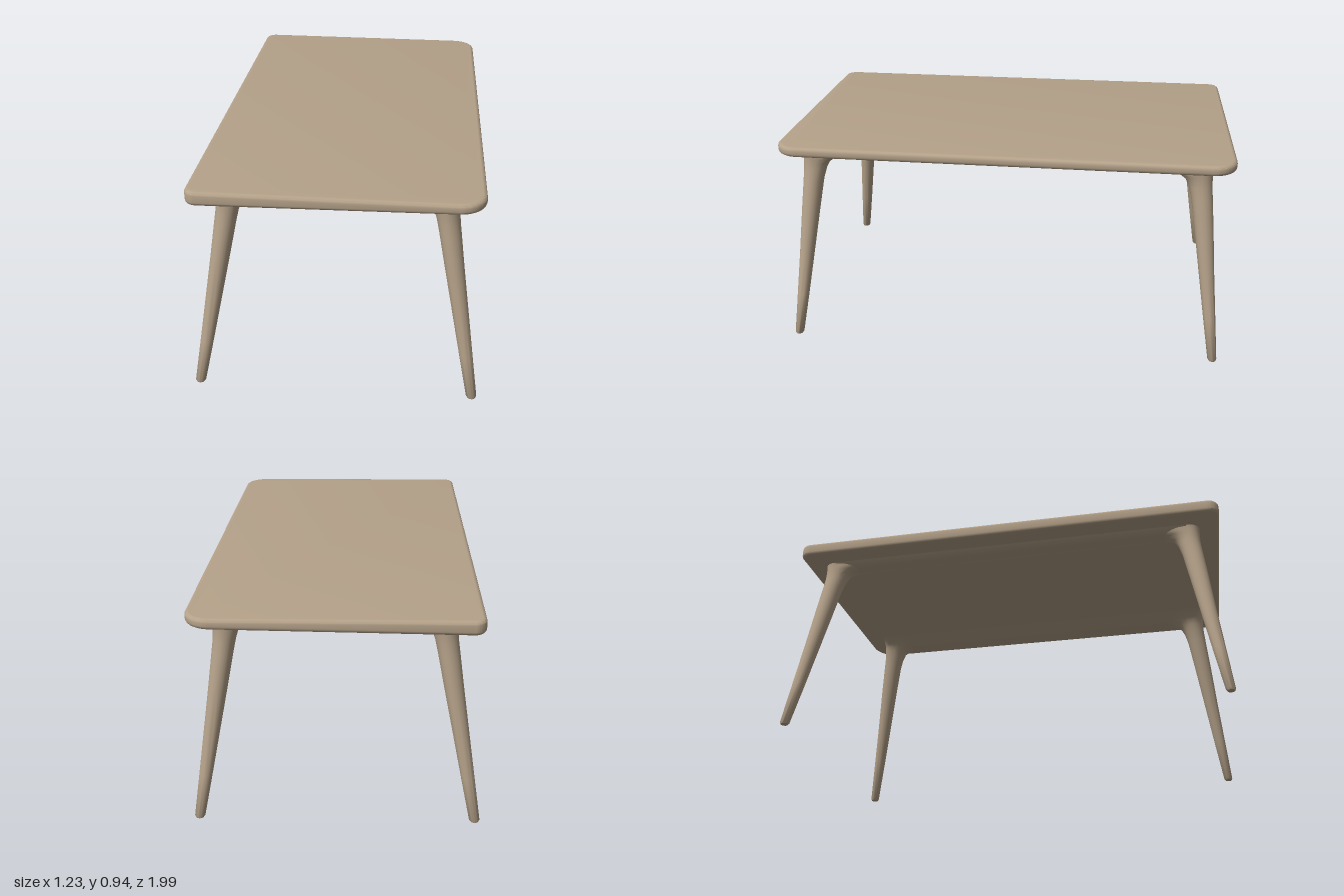
import * as THREE from 'three';
import { toCreasedNormals } from 'three/addons/utils/BufferGeometryUtils.js';

const wood = new THREE.MeshStandardMaterial({ color: 0xb4a189 });
wood.name = 'pale wood';

function addPart(parent, name, geometry, crease = 0.7) {
  const mesh = new THREE.Mesh(toCreasedNormals(geometry, crease), wood);
  mesh.name = name;
  parent.add(mesh);
  return mesh;
}

// Rounded slab, with tighter corners on the -x side
function tabletopGeometry() {
  const bevel = 0.016, w = 0.583 - bevel, l = 0.988 - bevel;
  const thickness = 0.052, small = 0.035, large = 0.09;
  const s = new THREE.Shape();
  s.absarc(w - large, l - large, large, 0, Math.PI / 2);
  s.absarc(-w + small, l - small, small, Math.PI / 2, Math.PI);
  s.absarc(-w + small, -l + small, small, Math.PI, Math.PI * 1.5);
  s.absarc(w - large, -l + large, large, Math.PI * 1.5, Math.PI * 2);
  s.closePath();
  const g = new THREE.ExtrudeGeometry(s, {
    depth: thickness - 2 * bevel, bevelThickness: bevel, bevelSize: bevel,
    bevelSegments: 4, curveSegments: 10,
  });
  g.rotateX(Math.PI / 2);
  g.translate(0, 0.93 - bevel, 0);
  // The underside rises gently towards +x
  const p = g.attributes.position;
  for (let i = 0; i < p.count; i++) {
    if (p.getY(i) < 0.9) p.setY(i, p.getY(i) + p.getX(i) * 0.015);
  }
  return g;
}

// Each row: y, centre x, centre z, then radii: outer x, inner x, outer z, inner z
const legRows = [
  [0.0, 0.579, 0.956, 0.017, 0.017, 0.016, 0.016],
  [0.008, 0.578, 0.955, 0.022, 0.022, 0.02, 0.02],
  [0.2, 0.544, 0.929, 0.028, 0.028, 0.027, 0.027],
  [0.4, 0.509, 0.902, 0.034, 0.034, 0.034, 0.033],
  [0.6, 0.474, 0.876, 0.04, 0.04, 0.042, 0.04],
  [0.74, 0.45, 0.858, 0.045, 0.044, 0.046, 0.046],
  [0.79, 0.442, 0.851, 0.046, 0.047, 0.048, 0.054],
  [0.82, 0.438, 0.849, 0.048, 0.052, 0.049, 0.068],
  [0.84, 0.437, 0.848, 0.049, 0.058, 0.05, 0.095],
  [0.855, 0.437, 0.848, 0.049, 0.068, 0.05, 0.14],
  [0.875, 0.437, 0.848, 0.05, 0.095, 0.052, 0.18],
  [0.893, 0.437, 0.848, 0.054, 0.14, 0.056, 0.2],
];

// Tapered splayed leg that flares into the rail and the underside
function legGeometry(sx, sz) {
  const n = 24, pos = [], idx = [];
  for (const [y, cx, cz, xo, xi, zo, zi] of legRows) {
    for (let i = 0; i < n; i++) {
      const a = (i / n) * Math.PI * 2, c = Math.cos(a), s = Math.sin(a);
      pos.push(sx * (cx + c * (c > 0 ? xo : xi)), y, sz * (cz + s * (s > 0 ? zo : zi)));
    }
  }
  const tri = (a, b, c) => (sx * sz > 0 ? idx.push(a, b, c) : idx.push(a, c, b));
  for (let r = 0; r < legRows.length - 1; r++) {
    for (let i = 0; i < n; i++) {
      const a = r * n + i, b = r * n + (i + 1) % n;
      tri(a, a + n, b);
      tri(b, a + n, b + n);
    }
  }
  // Sole of the foot
  for (let i = 1; i < n - 1; i++) tri(0, i, i + 1);
  const g = new THREE.BufferGeometry();
  g.setAttribute('position', new THREE.Float32BufferAttribute(pos, 3));
  g.setIndex(idx);
  return g;
}

// Long rail with a coved inner side
function railGeometry() {
  const profile = [
    [0.515, 0.893], [0.493, 0.874], [0.475, 0.854], [0.45, 0.845],
    [0.42, 0.846], [0.39, 0.856], [0.355, 0.874], [0.3, 0.893],
  ].map(([x, y]) => new THREE.Vector2(x, y));
  const s = new THREE.Shape(new THREE.SplineCurve(profile).getPoints(24));
  const g = new THREE.ExtrudeGeometry(s, { depth: 1.68, bevelEnabled: false });
  g.translate(0, 0, -0.84);
  return g;
}

export function createModel() {
  const model = new THREE.Group();
  model.name = 'diningTable';

  // The whole table sits slightly turned and tilted
  const table = new THREE.Group();
  table.name = 'table';
  table.rotation.set(0, -0.016, -0.008);
  table.position.y = 0.005;
  model.add(table);

  addPart(table, 'tabletop', tabletopGeometry());

  for (const sx of [1, -1]) {
    const side = sx > 0 ? 'Left' : 'Right';
    const rail = addPart(table, 'rail' + side, railGeometry());
    if (sx < 0) rail.rotation.y = Math.PI;
    for (const sz of [1, -1]) {
      addPart(table, (sz > 0 ? 'front' : 'back') + side + 'Leg', legGeometry(sx, sz), 0.9);
    }
  }
  return model;
}
